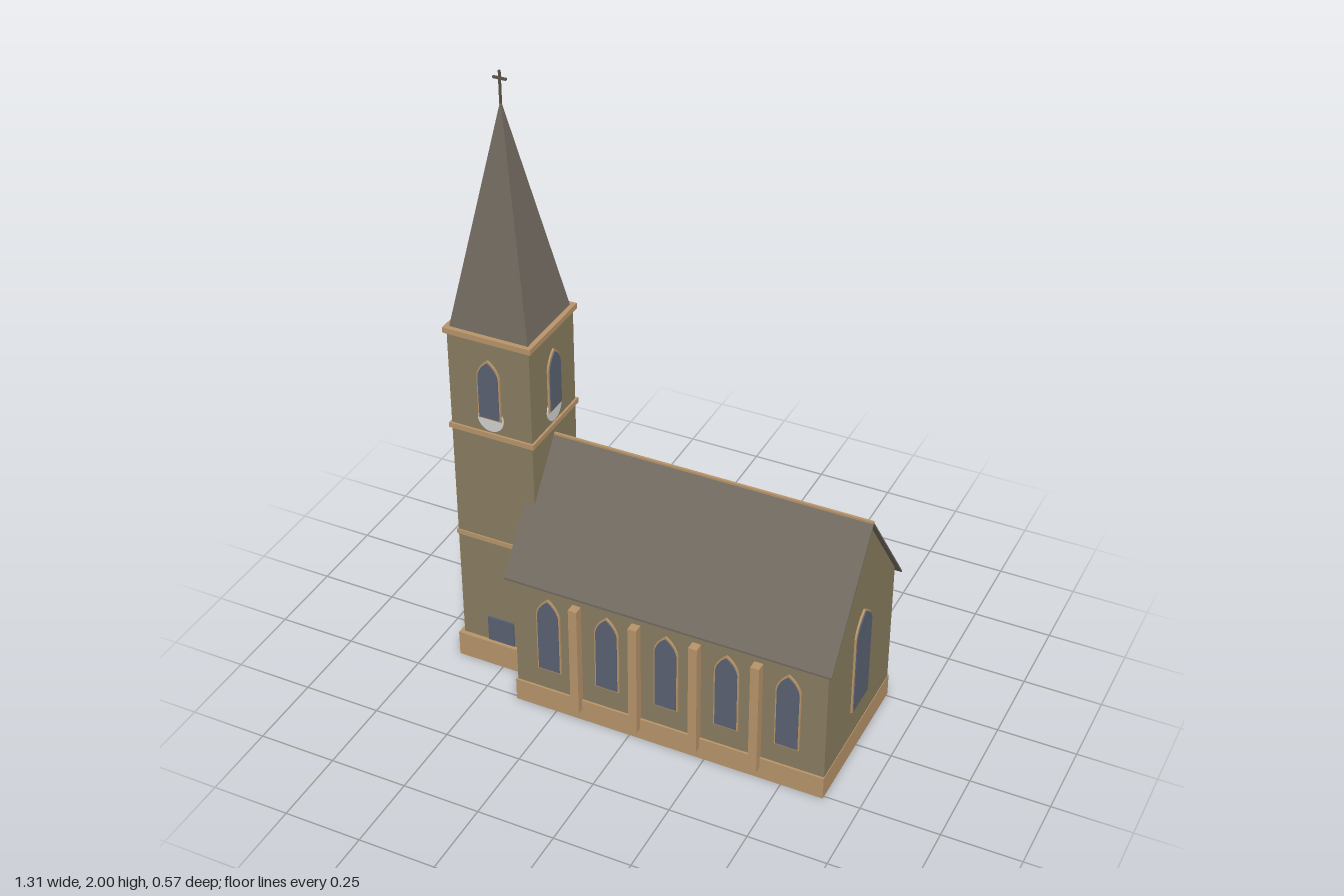
import * as THREE from 'three';

const mat = (name, color) => {
  const m = new THREE.MeshStandardMaterial({ color });
  m.name = name;
  return m;
};

export function createModel() {
  const stone = mat('wall stone', 0x8a7d60);
  const trim = mat('sandstone trim', 0xb8956a);
  const slate = mat('roof slate', 0x726a60);
  const glass = mat('window glass', 0x5a6272);
  const dial = mat('pale dial', 0xd2d2d0);
  const iron = mat('cross metal', 0x5f5649);
  const model = new THREE.Group();
  model.name = 'church';

  const add = (parent, name, geometry, material, x = 0, y = 0, z = 0) => {
    const mesh = new THREE.Mesh(geometry, material);
    mesh.name = name;
    mesh.position.set(x, y, z);
    parent.add(mesh);
    return mesh;
  };
  // box given by its centre in plan and its bottom and top heights
  const block = (parent, name, material, w, d, y0, y1, x = 0, z = 0) =>
    add(parent, name, new THREE.BoxGeometry(w, y1 - y0, d), material, x, (y0 + y1) / 2, z);
  const polygon = (pts) => new THREE.Shape(pts.map(([a, b]) => new THREE.Vector2(a, b)));
  // cross-section in (z, y) swept along x
  const sweepX = (pts, x0, x1) =>
    new THREE.ExtrudeGeometry(polygon(pts), { depth: x1 - x0, bevelEnabled: false })
      .rotateY(Math.PI / 2).translate(x0, 0, 0);

  // pointed arch plate, facing +z
  const archPlate = (half, bottom, spring, top, depth) => {
    const s = new THREE.Shape();
    const mid = spring + (top - spring) * 0.6;
    s.moveTo(-half, bottom);
    s.lineTo(half, bottom);
    s.lineTo(half, spring);
    s.quadraticCurveTo(half * 0.85, mid, 0, top);
    s.quadraticCurveTo(-half * 0.85, mid, -half, spring);
    return new THREE.ExtrudeGeometry(s, { depth, bevelEnabled: false, curveSegments: 5 });
  };
  const lancet = (name, half, bottom, spring, top) => {
    const g = new THREE.Group();
    const rim = 0.005;
    g.name = name;
    add(g, 'windowFrame', archPlate(half, bottom, spring, top, 0.006), trim);
    add(g, 'windowPane', archPlate(half - rim, bottom + rim, spring, top - rim * 1.5, 0.009), glass);
    return g;
  };

  // nave
  const nave = new THREE.Group();
  nave.name = 'nave';
  model.add(nave);
  block(nave, 'navePlinth', trim, 1.025, 0.52, 0, 0.077, 0.1235);
  add(nave, 'naveWalls', sweepX(
    [[-0.253, 0.07], [0.253, 0.07], [0.253, 0.5], [0, 0.836], [-0.253, 0.5]], -0.385, 0.634), stone);
  add(nave, 'naveRoof', sweepX(
    [[-0.275, 0.472], [0, 0.836], [0.275, 0.472], [0.275, 0.479], [0, 0.843], [-0.275, 0.479]],
    -0.405, 0.65), slate);
  block(nave, 'roofRidge', trim, 1.02, 0.008, 0.838, 0.845, 0.14);

  // windows and buttresses on both long sides
  for (const side of [1, -1]) {
    for (let i = 0; i < 5; i++) {
      const w = lancet('naveWindow', 0.04, 0.153, 0.365, 0.427);
      w.position.set(-0.27 + i * 0.196, 0, side * 0.253);
      if (side < 0) w.rotation.y = Math.PI;
      nave.add(w);
    }
    for (let i = 0; i < 4; i++) {
      block(nave, 'buttress', trim, 0.028, 0.04, 0.042, 0.435, -0.174 + i * 0.197, side * 0.263);
    }
  }
  const endWindow = lancet('endWindow', 0.061, 0.175, 0.455, 0.525);
  endWindow.rotation.y = Math.PI / 2;
  endWindow.position.x = 0.634;
  nave.add(endWindow);

  // tower
  const tower = new THREE.Group();
  tower.name = 'tower';
  tower.position.x = -0.506;
  model.add(tower);
  const half = 0.135;
  block(tower, 'towerPlinth', trim, 0.298, 0.298, 0, 0.087);
  block(tower, 'towerWalls', stone, half * 2, half * 2, 0.08, 1.205);
  for (const [y0, y1, w] of [[0.474, 0.49, 0.278], [0.869, 0.886, 0.284], [1.2, 1.218, 0.288]]) {
    block(tower, 'towerBand', trim, w, w, y0, y1);
  }
  block(tower, 'door', glass, 0.09, 0.008, 0.09, 0.18, 0, half + 0.002);

  // belfry openings with a dial below, on all four faces
  for (let i = 0; i < 4; i++) {
    const face = new THREE.Group();
    face.name = 'belfryFace';
    face.rotation.y = i * Math.PI / 2;
    tower.add(face);
    add(face, 'dial', new THREE.CylinderGeometry(0.043, 0.043, 0.006, 24).rotateX(Math.PI / 2),
      dial, 0, 0.936, half + 0.001);
    const w = lancet('belfryWindow', 0.038, 0.937, 1.085, 1.142);
    w.position.z = half + 0.002;
    face.add(w);
  }

  // spire and cross
  const spire = new THREE.ConeGeometry(0.13 * Math.SQRT2, 0.7, 4).toNonIndexed();
  spire.rotateY(Math.PI / 4);
  spire.computeVertexNormals();
  add(tower, 'spire', spire, slate, 0, 1.212 + 0.35, 0);
  block(tower, 'crossPost', iron, 0.006, 0.006, 1.9, 2);
  block(tower, 'crossArm', iron, 0.042, 0.006, 1.973, 1.98);

  return model;
}
